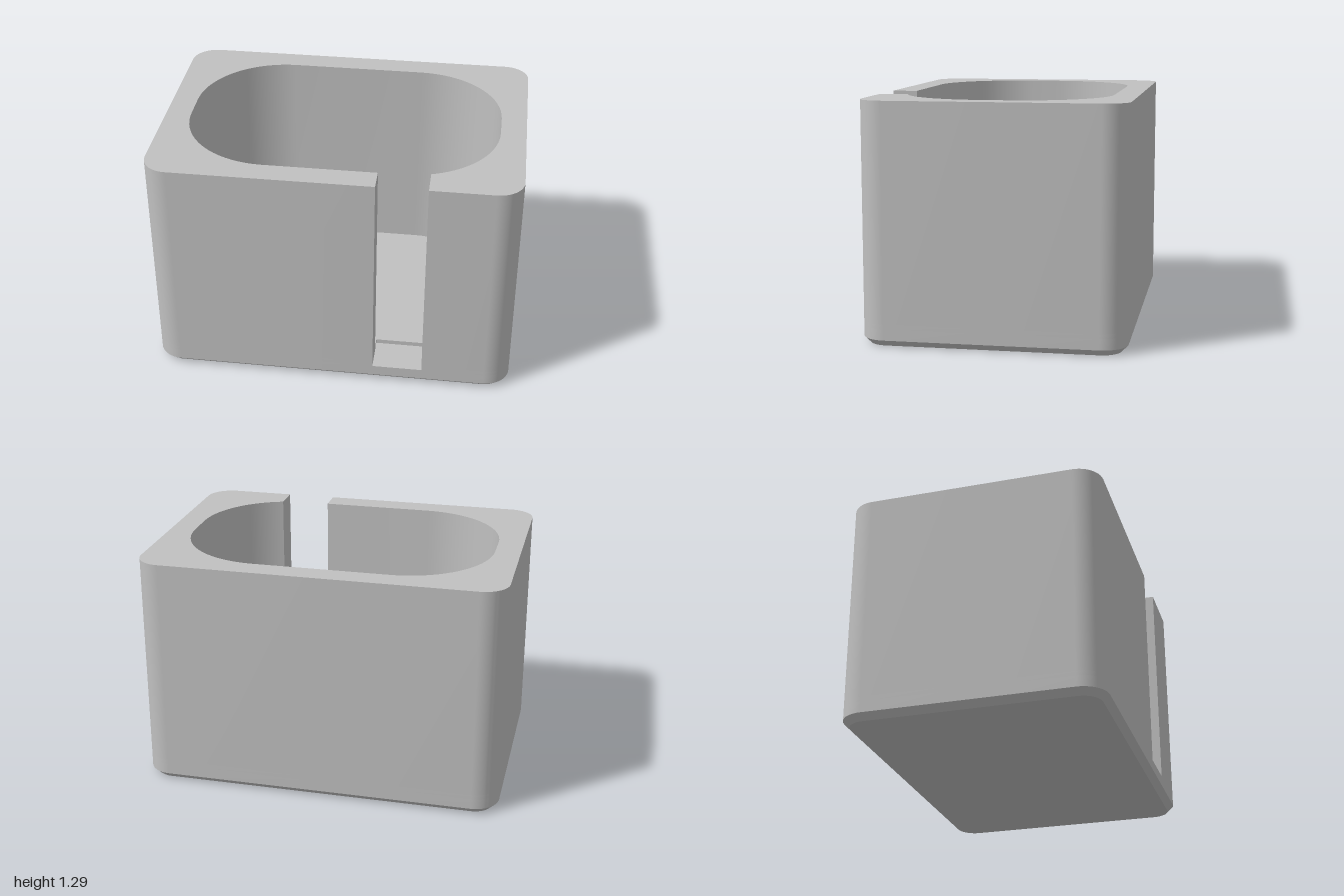
import * as THREE from 'three';
import { toCreasedNormals } from 'three/addons/utils/BufferGeometryUtils.js';

const HALF_W = 1, HALF_D = 0.705, HEIGHT = 1.29, CORNER = 0.14, CHAMFER = 0.035;
const FLOOR = 0.12, SLOT_FLOOR = 0.095, SLOT_L = 0.24, SLOT_R = 0.515, SLOT_BACK = 0.5;

// Rounded rectangle in plan as [x, z], from the slot's +x edge round to its -x edge.
function outline(w, d, r, segments = 18) {
  const cx = w - r, cz = d - r, points = [];
  if (SLOT_R < cx) points.push([SLOT_R, d]);
  const first = Math.acos(Math.max(0, (SLOT_R - cx) / r));
  [[1, 1], [1, -1], [-1, -1], [-1, 1]].forEach(([sx, sz], q) => {
    const from = q === 0 ? first : (1 - q) * Math.PI / 2;
    const to = -q * Math.PI / 2;
    for (let i = 0; i <= segments; i++) {
      const t = from + (to - from) * i / segments;
      points.push([sx * cx + r * Math.cos(t), sz * cz + r * Math.sin(t)]);
    }
  });
  points.push([SLOT_L, d]);
  return points;
}

// Closed band of quads between two matching outlines.
function wall(out, lower, y0, upper, y1) {
  lower.forEach((a, i) => {
    const j = (i + 1) % lower.length;
    const b = lower[j], c = upper[j], d = upper[i];
    out.push(a[0], y0, a[1], b[0], y0, b[1], c[0], y1, c[1]);
    out.push(a[0], y0, a[1], c[0], y1, c[1], d[0], y1, d[1]);
  });
}

// Flat horizontal face filling an outline.
function cap(out, points, y, up = true) {
  const contour = points.map(([x, z]) => new THREE.Vector2(x, -z));
  for (const face of THREE.ShapeUtils.triangulateShape(contour, [])) {
    for (const k of up ? face : [...face].reverse()) out.push(points[k][0], y, points[k][1]);
  }
}

export function createModel() {
  const grey = new THREE.MeshStandardMaterial({ color: 0xc0c0c0 });
  grey.name = 'grey';

  const outer = outline(HALF_W, HALF_D, CORNER);
  const foot = outline(HALF_W - CHAMFER, HALF_D - CHAMFER, CORNER - CHAMFER);
  const inner = outline(0.86, 0.568, 0.488);
  const notch = [[SLOT_L, SLOT_BACK], [SLOT_R, SLOT_BACK]];
  const notched = [...outer, ...notch];
  const rim = [...outer, ...[...inner].reverse()];

  const group = new THREE.Group();
  group.name = 'slottedBox';
  const add = (name, build) => {
    const out = [];
    build(out);
    const geometry = new THREE.BufferGeometry();
    geometry.setAttribute('position', new THREE.Float32BufferAttribute(out, 3));
    const mesh = new THREE.Mesh(toCreasedNormals(geometry, Math.PI / 6), grey);
    mesh.name = name;
    group.add(mesh);
  };

  // Chamfered underside and the solid part below the slot
  add('base', (out) => {
    cap(out, foot, 0, false);
    wall(out, foot, 0, outer, CHAMFER);
    wall(out, outer, CHAMFER, outer, SLOT_FLOOR);
  });
  // Sill of the slot, slightly lower than the cavity floor
  add('slotFloor', (out) => {
    cap(out, [[SLOT_L, HALF_D], [SLOT_R, HALF_D], [SLOT_R, SLOT_BACK], [SLOT_L, SLOT_BACK]], SLOT_FLOOR);
    wall(out, notched, SLOT_FLOOR, notched, FLOOR);
  });
  add('cavityFloor', (out) => cap(out, [...inner, ...notch], FLOOR));
  // Outer sides, slot cheeks, cavity sides and top rim
  add('walls', (out) => {
    wall(out, rim, FLOOR, rim, HEIGHT);
    cap(out, rim, HEIGHT);
  });
  return group;
}
